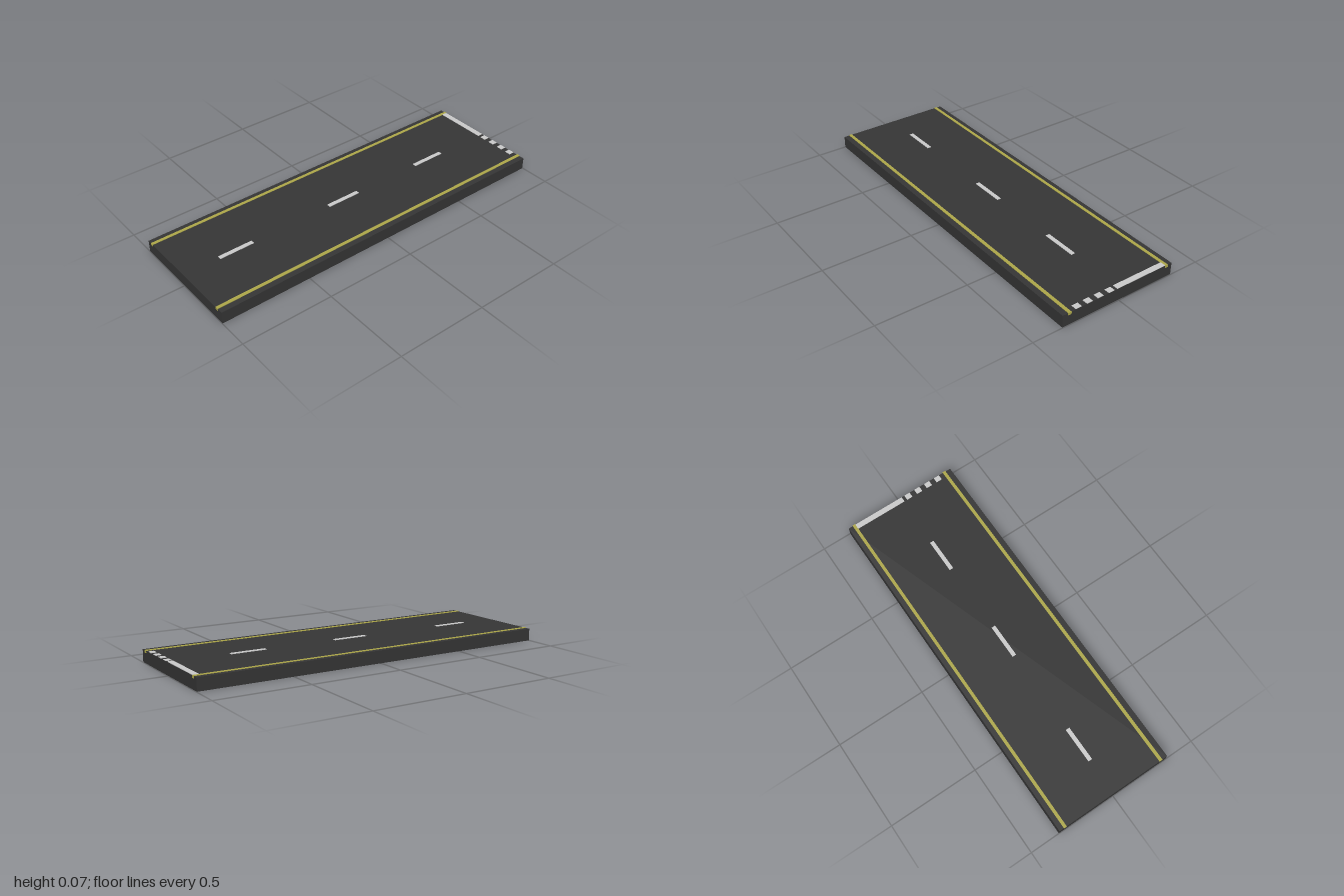
import * as THREE from 'three';

export function createModel() {
  const road = new THREE.Group();
  road.name = 'roadSection';

  const asphalt = new THREE.MeshStandardMaterial({ color: 0x363636 });
  asphalt.name = 'asphalt';
  const whitePaint = new THREE.MeshStandardMaterial({ color: 0xcccccc });
  whitePaint.name = 'white paint';
  const yellowPaint = new THREE.MeshStandardMaterial({ color: 0xaea84a });
  yellowPaint.name = 'yellow paint';

  // Box given by its extents along each axis
  function block(name, material, [x0, x1], [y0, y1], [z0, z1]) {
    const mesh = new THREE.Mesh(new THREE.BoxGeometry(x1 - x0, y1 - y0, z1 - z0), material);
    mesh.position.set((x0 + x1) / 2, (y0 + y1) / 2, (z0 + z1) / 2);
    mesh.name = name;
    road.add(mesh);
  }

  const paintHeight = [0.062, 0.0695];

  // Road bed
  block('roadSlab', asphalt, [-0.999, 0.997], [0, 0.0665], [-0.333, 0.333]);

  // Edge lines, let into the slab and showing at its ends
  block('frontEdgeLine', yellowPaint, [-1, 1], [0.056, 0.069], [0.284, 0.302]);
  block('backEdgeLine', yellowPaint, [-1, 1], [0.056, 0.069], [-0.307, -0.29]);

  // Centre line dashes
  for (const x of [-0.7, -0.027, 0.573]) {
    block('centreDash', whitePaint, [x - 0.098, x + 0.098], paintHeight, [-0.011, 0.011]);
  }

  // Stop line across one lane, give-way dashes across the other
  const junction = [0.966, 0.996];
  block('stopLine', whitePaint, junction, paintHeight, [-0.291, 0.01]);
  for (let i = 0; i < 4; i++) {
    const z = 0.045 + i * 0.065;
    block('giveWayDash', whitePaint, junction, paintHeight, [z - 0.017, z + 0.017]);
  }

  return road;
}
